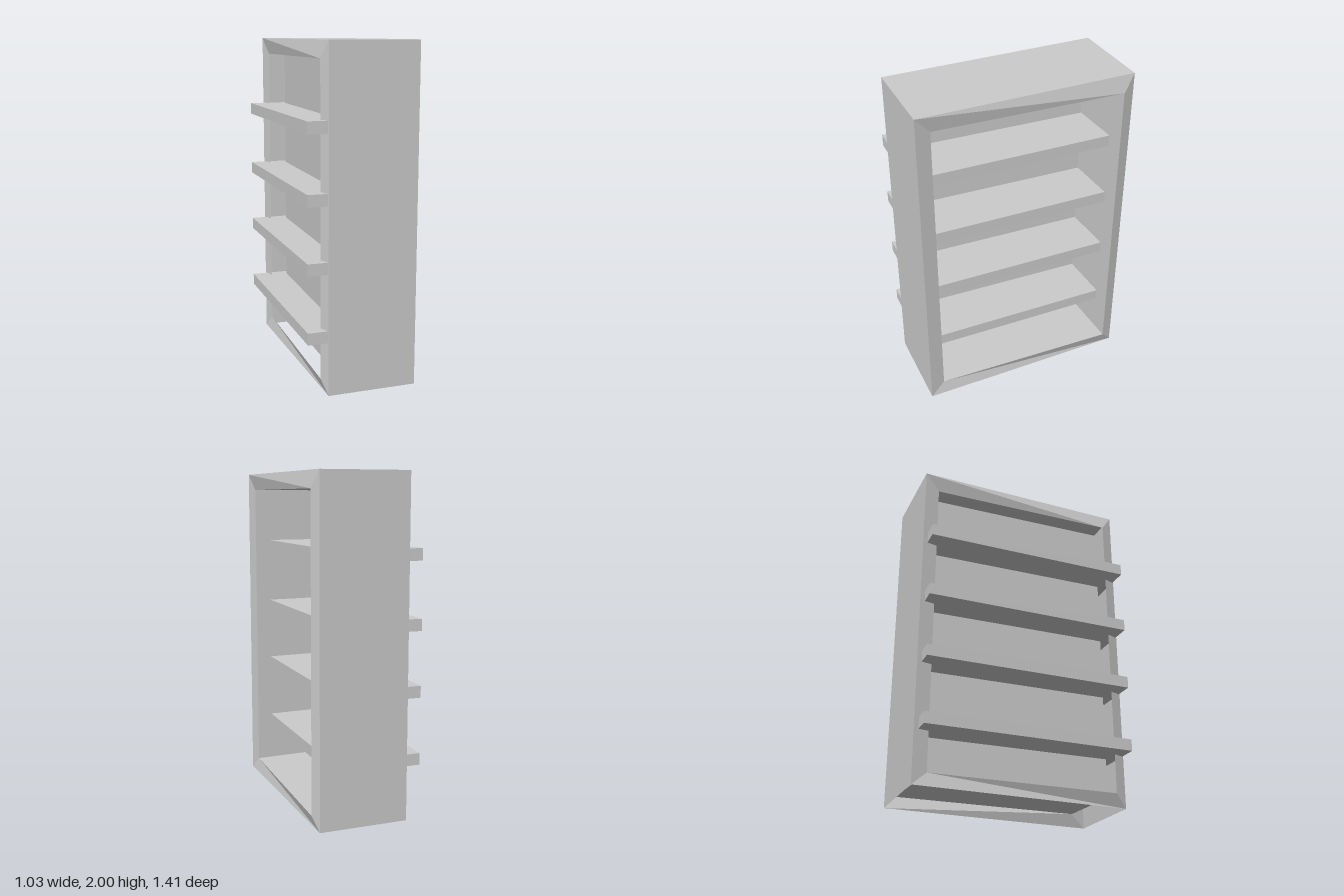
import * as THREE from 'three';

const material = new THREE.MeshStandardMaterial({
  color: 0xcccccc, flatShading: true, side: THREE.DoubleSide,
});

// Mesh from four-cornered panels, corners counter-clockwise from outside
function panels(name, quads) {
  const pos = [];
  for (const [a, b, c, d] of quads) for (const p of [a, b, c, a, c, d]) pos.push(...p);
  const geo = new THREE.BufferGeometry();
  geo.setAttribute('position', new THREE.Float32BufferAttribute(pos, 3));
  geo.computeVertexNormals();
  const mesh = new THREE.Mesh(geo, material);
  mesh.name = name;
  return mesh;
}

// Upright rectangle between two plan points [x, z], as a loop of corners
const upright = ([x0, z0], [x1, z1], low, high) =>
  [[x0, low, z0], [x1, low, z1], [x1, high, z1], [x0, high, z0]];

// Strip of panels joining two four-cornered loops
const ring = (inner, outer) => inner.map((p, i) => {
  const j = (i + 1) % 4;
  return [p, outer[i], outer[j], inner[j]];
});

export function createModel() {
  const group = new THREE.Group();
  group.name = 'bookcase';
  const H = 2, LOW = 0.08, HIGH = 1.9, CX = 0.053;
  const halfTurn = ([x, z]) => [2 * CX - x, -z];

  // Plan corners of the case and its slightly turned opening
  const frontL = [0.097, 0.704], frontR = [0.515, -0.53];
  const backR = halfTurn(frontL), backL = halfTurn(frontR);
  const openL = [0.11, 0.613], openR = [0.515, -0.456];

  // Case ends and top; the underside is open
  const top = [frontL, frontR, backR, backL].map(([x, z]) => [x, H, z]);
  group.add(panels('caseEnds', [
    upright(frontR, backR, 0, H), upright(backL, frontL, 0, H),
  ]));
  group.add(panels('caseTop', [top]));

  // Front and back frames around the openings
  const opening = upright(openL, openR, LOW, HIGH);
  group.add(panels('frontFrame', ring(opening, upright(frontL, frontR, 0, H))));
  group.add(panels('backFrame', ring(
    upright(halfTurn(openL), halfTurn(openR), LOW, HIGH),
    upright(backR, backL, 0, H))));

  // Inner lining and back panel, set in from the back frame
  const rear = opening.map(([x, y, z]) => [x - 0.417, y, z - 0.122]);
  group.add(panels('lining', opening.map((p, i) => {
    const j = (i + 1) % 4;
    return [p, opening[j], rear[j], rear[i]];
  })));
  group.add(panels('backPanel', [rear]));

  // Shelves pass through the back panel and stick out behind
  const shelfGeo = new THREE.BoxGeometry(0.542, 0.07, 1.268);
  for (const y of [0.351, 0.751, 1.139, 1.538]) {
    const shelf = new THREE.Mesh(shelfGeo, material);
    shelf.name = 'shelf';
    shelf.position.set(-0.05, y, -0.021);
    shelf.rotation.y = -0.346;
    group.add(shelf);
  }
  return group;
}
